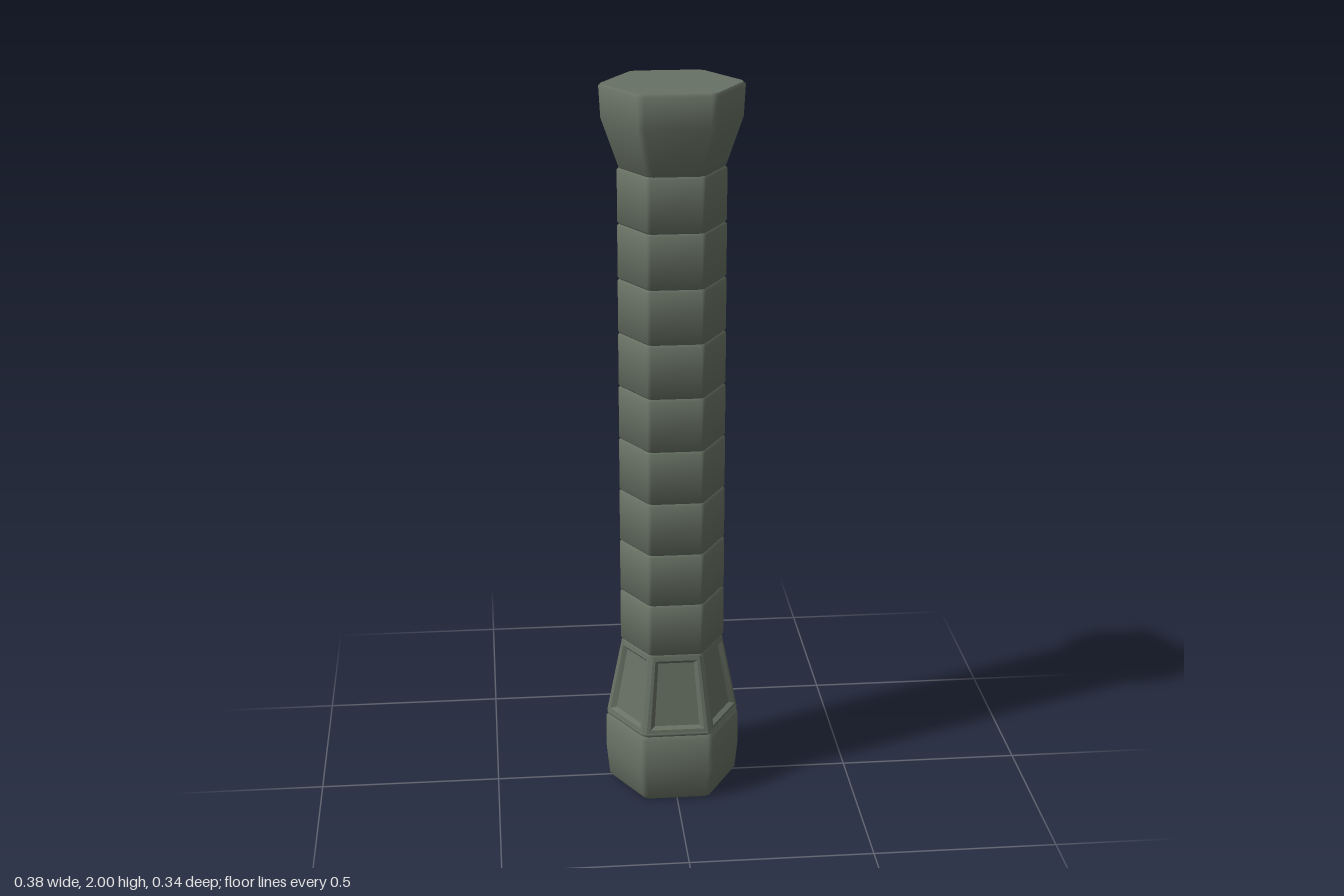
import * as THREE from 'three';

const stone = new THREE.MeshStandardMaterial({ color: 0x687164 });
stone.name = 'grey green stone';

// Chamfered hexagon ring: 12 points at height y, a = distance from axis to flat, c = corner cut
function ring(a, y, c) {
  const pts = [];
  const R = a / Math.cos(Math.PI / 6);
  for (let k = 0; k < 6; k++) {
    const t = (k * Math.PI) / 3;
    for (const s of [-1, 1]) {
      const d = t + (s * 2 * Math.PI) / 3;
      pts.push(new THREE.Vector3(R * Math.cos(t) + c * Math.cos(d), y, -R * Math.sin(t) - c * Math.sin(d)));
    }
  }
  return pts;
}

function quadNormal(a, b, d) {
  return b.clone().sub(a).cross(d.clone().sub(a)).normalize();
}

// Loft of hexagon rings [a, y], softened over the bevels, with flat end caps
function hexBlock(name, profile, c) {
  const rings = profile.map(([a, y]) => ring(a, y, c));
  const pts = rings.flat();
  const normals = pts.map(() => new THREE.Vector3());
  const index = [];
  for (let r = 0; r < rings.length - 1; r++) {
    for (let i = 0; i < 12; i++) {
      const j = (i + 1) % 12;
      const q = [r * 12 + i, r * 12 + j, r * 12 + 12 + j, r * 12 + 12 + i];
      const n = quadNormal(pts[q[0]], pts[q[1]], pts[q[3]]);
      // wide faces outweigh the narrow corner cuts
      q.forEach((v) => normals[v].addScaledVector(n, i % 2 ? 1 : 0.15));
      index.push(q[0], q[1], q[2], q[0], q[2], q[3]);
    }
  }
  for (const top of [false, true]) {
    const base = pts.length;
    for (const p of top ? rings[rings.length - 1] : rings[0]) {
      pts.push(p);
      normals.push(new THREE.Vector3(0, top ? 1 : -1, 0));
    }
    for (let i = 1; i < 11; i++) {
      index.push(base, base + (top ? i : i + 1), base + (top ? i + 1 : i));
    }
  }
  const g = new THREE.BufferGeometry().setFromPoints(pts);
  g.setAttribute('normal', new THREE.Float32BufferAttribute(normals.flatMap((n) => n.normalize().toArray()), 3));
  g.setIndex(index);
  const mesh = new THREE.Mesh(g, stone);
  mesh.name = name;
  return mesh;
}

// Tapered collar whose six faces each hold a sunken panel
function panelCollar(low, high, c) {
  const lo = ring(...low, c);
  const hi = ring(...high, c);
  const pos = [];
  const quad = (a, b, d, e) => [a, b, d, a, d, e].forEach((p) => pos.push(...p.toArray()));
  for (let i = 0; i < 12; i++) {
    const j = (i + 1) % 12;
    const outer = [lo[i], lo[j], hi[j], hi[i]];
    if (i % 2 === 0) {
      quad(...outer);
      continue;
    }
    const n = quadNormal(lo[i], lo[j], hi[i]);
    const inset = (u, v, depth) => [[u, v], [1 - u, v], [1 - u, 1 - v], [u, 1 - v]].map(([s, t]) =>
      lo[i].clone().lerp(lo[j], s).lerp(hi[i].clone().lerp(hi[j], s), t).addScaledVector(n, -depth));
    const loops = [outer, inset(0.06, 0.05, 0), inset(0.13, 0.09, 0.011)];
    for (let l = 0; l < 2; l++) {
      for (let k = 0; k < 4; k++) {
        const m = (k + 1) % 4;
        quad(loops[l][k], loops[l][m], loops[l + 1][m], loops[l + 1][k]);
      }
    }
    quad(...loops[2]);
  }
  const g = new THREE.BufferGeometry();
  g.setAttribute('position', new THREE.Float32BufferAttribute(pos, 3));
  g.computeVertexNormals();
  const mesh = new THREE.Mesh(g, stone);
  mesh.name = 'panelCollar';
  return mesh;
}

export function createModel() {
  const column = new THREE.Group();
  column.name = 'hexagonalColumn';

  // Foot block
  column.add(hexBlock('footBlock', [[0.152, 0], [0.16, 0.012], [0.167, 0.09], [0.166, 0.188], [0.158, 0.198]], 0.01));

  // Collar with a thin lip below it
  column.add(hexBlock('collarLip', [[0.156, 0.196], [0.164, 0.202], [0.163, 0.21], [0.155, 0.212]], 0.01));
  column.add(panelCollar([0.163, 0.209], [0.126, 0.426], 0.008));
  column.add(hexBlock('collarTop', [[0.125, 0.42], [0.126, 0.426], [0.121, 0.434]], 0.008));

  // Shaft of nine stacked drums
  const shaft = new THREE.Group();
  shaft.name = 'shaft';
  const start = 0.432, h = (1.78 - start) / 9;
  for (let i = 0; i < 9; i++) {
    const y = start + i * h;
    shaft.add(hexBlock('shaftDrum', [[0.123, y], [0.128, y + 0.006], [0.128, y + h - 0.006], [0.123, y + h]], 0.007));
  }
  column.add(shaft);

  // Flared capital
  column.add(hexBlock('capital', [[0.121, 1.777], [0.127, 1.785], [0.165, 1.91], [0.169, 1.993], [0.163, 2]], 0.011));
  return column;
}
